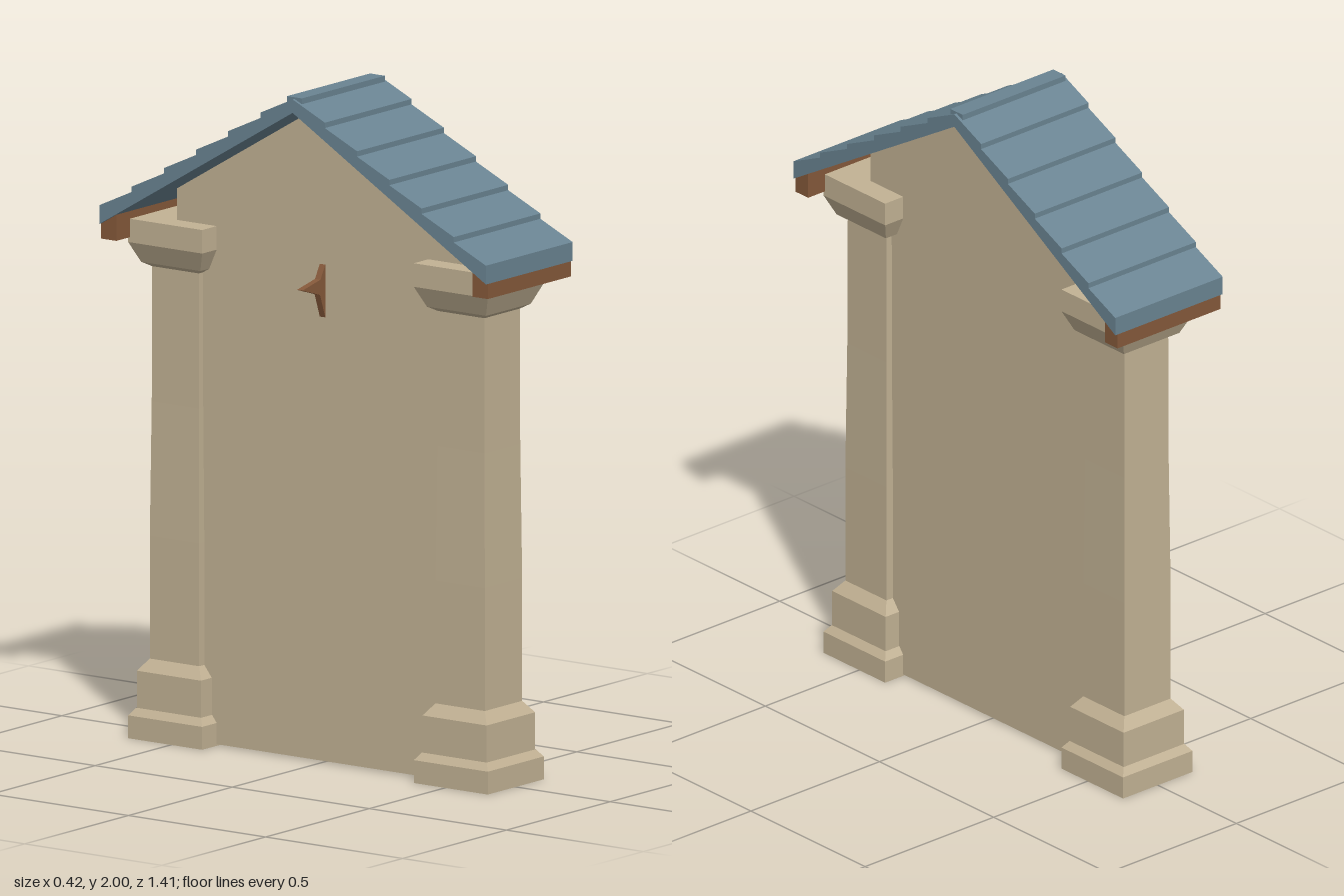
import * as THREE from 'three';

const mat = (name, color) => new THREE.MeshStandardMaterial({ name, color, flatShading: true, side: THREE.DoubleSide });

// Extrude a [z, y] outline symmetrically along x
function extrudeAcross(points, width) {
  const shape = new THREE.Shape(points.map(([z, y]) => new THREE.Vector2(z, y)));
  const g = new THREE.ExtrudeGeometry(shape, { depth: width, bevelEnabled: false });
  g.translate(0, 0, -width / 2);
  g.rotateY(-Math.PI / 2);
  return g;
}

// Square tower from [halfWidth, y] rings
function squareLoft(rings) {
  const pts = rings.map(([h, y]) => new THREE.Vector2(h * Math.SQRT2, y));
  return new THREE.LatheGeometry(pts, 4, Math.PI / 4);
}

export function createModel() {
  const model = new THREE.Group();
  const stone = mat('stone', 0xc2b294);
  const slate = mat('slate', 0x6a8492);
  const wood = mat('wood', 0x85593a);

  const add = (name, geometry, material, parent = model) => {
    const mesh = new THREE.Mesh(geometry, material);
    mesh.name = name;
    parent.add(mesh);
    return mesh;
  };

  // Underside of the roof at distance z from the ridge
  const eave = 0.705;
  const under = (z) => 1.955 - 0.596 * Math.abs(z);

  // Gabled wall
  add('wall', extrudeAcross([
    [-0.53, 0.005], [0.53, 0.005], [0.53, under(0.53)], [0, under(0)], [-0.53, under(0.53)],
  ], 0.13), stone);

  // Pillars, with hollow bases
  const parts = {
    plinth: [[0.135, 0], [0.135, 0.068], [0.118, 0.09]],
    base: [[0.117, 0.03], [0.117, 0.2], [0.09, 0.235]],
    shaft: [[0.09, 0.03], [0.09, 0.6], [0.086, 1.0], [0.085, 1.41]],
    capital: [[0.083, 1.4], [0.108, 1.415], [0.135, 1.475], [0.135, 1.545], [0, 1.545]],
  };
  for (const side of [1, -1]) {
    const pillar = new THREE.Group();
    pillar.name = side > 0 ? 'frontPillar' : 'backPillar';
    for (const [name, rings] of Object.entries(parts)) add(name, squareLoft(rings), stone, pillar);
    pillar.position.z = side * 0.521;
    model.add(pillar);
  }

  // Roof slopes with stepped slate courses, and the beams under the eaves
  const courses = 6;
  for (const side of [1, -1]) {
    const label = side > 0 ? 'front' : 'back';
    const outline = [[0, under(0)]];
    for (let i = 0; i < courses; i++) {
      const z0 = (eave * i) / courses, z1 = (eave * (i + 1)) / courses;
      outline.push([z0, under(z0) + 0.04], [z1, under(z1) + 0.056]);
    }
    outline.push([eave, under(eave)]);
    const mirror = ([z, y]) => [z * side, y];
    add(label + 'Roof', extrudeAcross(outline.map(mirror), 0.418), slate);
    add(label + 'EaveBeam', extrudeAcross([
      [0.65, 1.49], [eave, 1.49], [eave, under(eave)], [0.65, under(0.65)],
    ].map(mirror), 0.4), wood);
  }

  // Ridge cap
  const cap = add('ridgeCap', new THREE.BoxGeometry(0.4, 0.03, 0.054), slate);
  cap.position.y = 1.985;

  // Small pointed bracket on the right face of the wall
  const star = new THREE.Shape();
  star.moveTo(-0.06, 1.49);
  star.lineTo(-0.088, 1.44);
  star.lineTo(-0.175, 1.422);
  star.lineTo(-0.09, 1.395);
  star.lineTo(-0.06, 1.31);
  const bracket = new THREE.ExtrudeGeometry(star, { depth: 0.02, bevelEnabled: false });
  bracket.translate(0, 0, -0.01);
  add('bracket', bracket, wood);

  return model;
}
